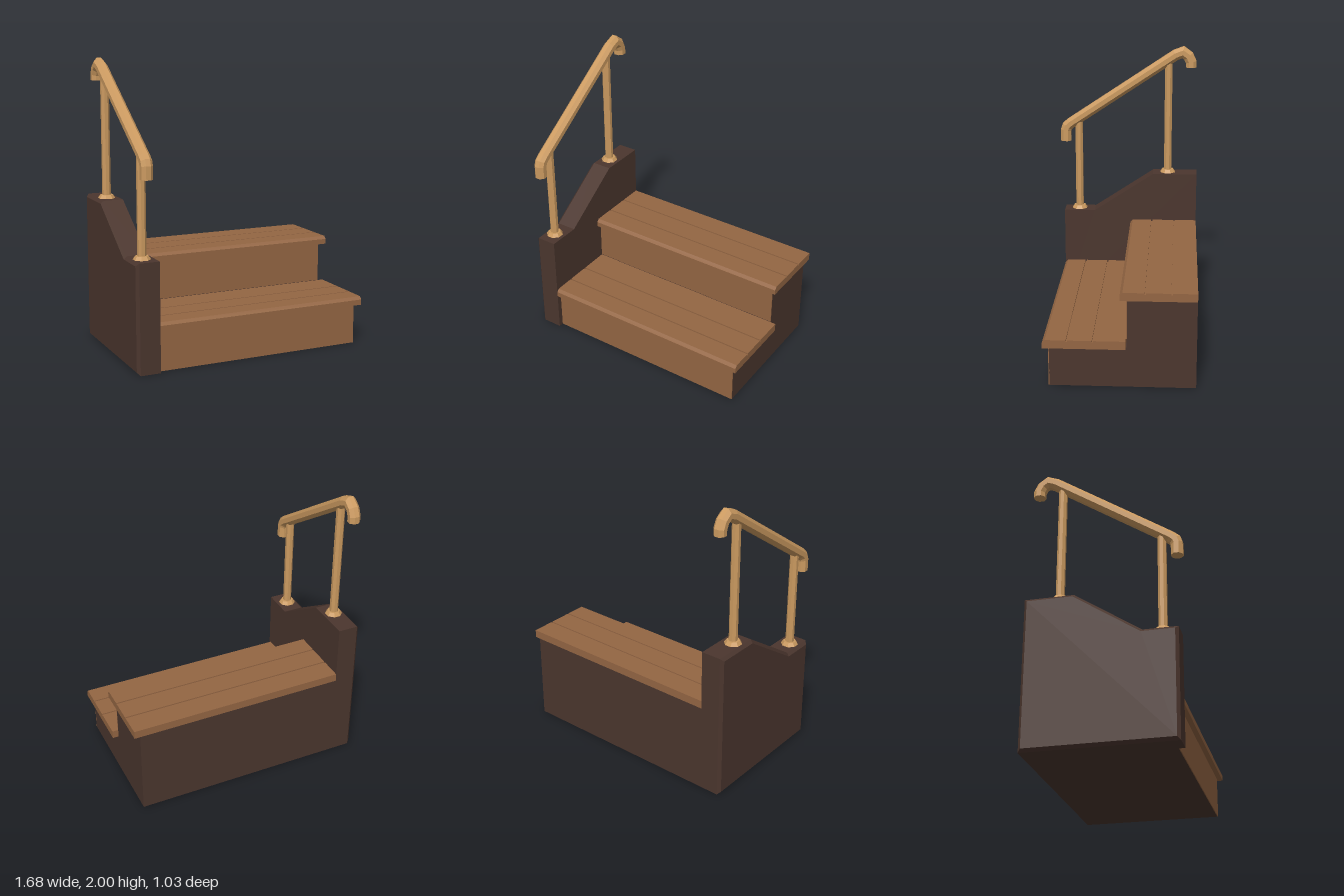
import * as THREE from 'three';

// Joins rings of 3D points into a closed solid; section is the 2D outline used to fill both ends
function loft(rings, section) {
  const out = [];
  const put = (...pts) => pts.forEach((p) => out.push(p.x, p.y, p.z));
  const n = section.length;
  for (let i = 0; i < rings.length - 1; i++) {
    for (let j = 0; j < n; j++) {
      const k = (j + 1) % n;
      const a = rings[i][j], b = rings[i][k], c = rings[i + 1][k], d = rings[i + 1][j];
      put(a, b, c, a, c, d);
    }
  }
  const first = rings[0], last = rings[rings.length - 1];
  for (const [a, b, c] of THREE.ShapeUtils.triangulateShape(section, [])) {
    put(last[a], last[b], last[c]);
    put(first[c], first[b], first[a]);
  }
  const geometry = new THREE.BufferGeometry();
  geometry.setAttribute('position', new THREE.Float32BufferAttribute(out, 3));
  geometry.computeVertexNormals();
  return geometry;
}

// Side outline of [z, y] pairs placed at a given x
const ringAt = (x, outline) => outline.map(([z, y]) => new THREE.Vector3(x, y, z));
const flat = (outline) => outline.map(([z, y]) => new THREE.Vector2(z, y));
const prism = (outline, x0, x1) => loft([ringAt(x1, outline), ringAt(x0, outline)], flat(outline));

// Octagonal tube along [z, y] points with mitred bends
function railGeometry(path, x, radius) {
  const circle = [];
  for (let i = 0; i < 8; i++) {
    const a = ((i + 0.5) / 8) * Math.PI * 2;
    circle.push(new THREE.Vector2(Math.cos(a) * radius, Math.sin(a) * radius));
  }
  const pts = path.map(([z, y]) => new THREE.Vector3(x, y, z));
  const rings = pts.map((p, i) => {
    const before = p.clone().sub(pts[Math.max(i - 1, 0)]).normalize();
    const after = pts[Math.min(i + 1, pts.length - 1)].clone().sub(p).normalize();
    const t = before.clone().add(after).normalize();
    const stretch = 1 / Math.max(t.dot(before), t.dot(after));
    return circle.map((c) => new THREE.Vector3(
      x + c.x, p.y + t.z * c.y * stretch, p.z - t.y * c.y * stretch));
  });
  return loft(rings, circle);
}

export function createModel() {
  const model = new THREE.Group();
  model.name = 'porchSteps';

  const material = (name, color) => {
    const m = new THREE.MeshStandardMaterial({ color, flatShading: true });
    m.name = name;
    return m;
  };
  const darkWood = material('darkWood', 0x4b362e);
  const brownWood = material('brownWood', 0x946643);
  const tanWood = material('tanWood', 0xcb9a60);

  const add = (name, geometry, mat, x = 0, y = 0, z = 0) => {
    const mesh = new THREE.Mesh(geometry, mat);
    mesh.name = name;
    mesh.position.set(x, y, z);
    model.add(mesh);
    return mesh;
  };

  const inner = -0.68, back = -0.515;

  // Stepped body
  add('stepBody', prism([
    [0.45, 0], [0.45, 0.28], [-0.06, 0.28], [-0.06, 0.62], [back, 0.62], [back, 0],
  ], inner, 0.8), darkWood);

  // Thin riser faces
  const riser = (name, y0, y1, z) =>
    add(name, new THREE.BoxGeometry(0.8 - inner, y1 - y0, 0.006), brownWood,
      (0.8 + inner) / 2, (y0 + y1) / 2, z - 0.003);
  riser('lowerRiser', 0, 0.28, 0.455);
  riser('upperRiser', 0.34, 0.62, -0.054);

  // Treads with a chamfered nose and two narrow board gaps
  const tread = (name, front, rear, y0, y1, gaps) => {
    const outline = [[front, y0], [front, y1 - 0.02], [front - 0.018, y1]];
    for (const g of gaps) {
      outline.push([g + 0.005, y1], [g + 0.005, y1 - 0.01], [g - 0.005, y1 - 0.01], [g - 0.005, y1]);
    }
    outline.push([rear, y1], [rear, y0]);
    add(name, prism(outline, inner, 0.84), brownWood);
  };
  tread('lowerTread', 0.49, -0.053, 0.28, 0.338, [0.33, 0.16]);
  tread('upperTread', -0.015, back, 0.62, 0.676, [-0.18, -0.35]);

  // Side wall, chamfered around its outer face
  const wall = [[0.49, 0], [0.49, 0.745], [0.26, 0.745], [-0.185, 1.04], [back, 1.04], [back, 0]];
  const wallOuter = [[0.47, 0.02], [0.47, 0.725], [0.254, 0.725], [-0.191, 1.02],
    [back + 0.02, 1.02], [back + 0.02, 0.02]];
  add('sideWall', loft(
    [ringAt(inner, wall), ringAt(-0.82, wall), ringAt(-0.84, wallOuter)], flat(wall)), darkWood);

  // Posts with flared feet
  const railX = -0.76;
  const posts = [['front', 0.38, 0.745, 1.45], ['back', -0.295, 1.04, 1.895]];
  for (const [side, z, y0, y1] of posts) {
    const post = new THREE.CylinderGeometry(0.03, 0.03, y1 - y0, 8);
    post.rotateY(Math.PI / 8);
    add(side + 'Post', post, tanWood, railX, (y0 + y1) / 2, z);
    const foot = new THREE.CylinderGeometry(0.044, 0.06, 0.024, 8);
    foot.rotateY(Math.PI / 8);
    add(side + 'PostFoot', foot, tanWood, railX, y0 + 0.012, z);
  }

  // Handrail with both ends turned down
  add('handrail', railGeometry([
    [0.479, 1.277], [0.479, 1.36], [0.469, 1.388], [0.44, 1.413],
    [-0.345, 1.936], [-0.4, 1.957], [-0.44, 1.928], [-0.46, 1.885], [-0.46, 1.845],
  ], railX, 0.0425), tanWood);

  return model;
}
